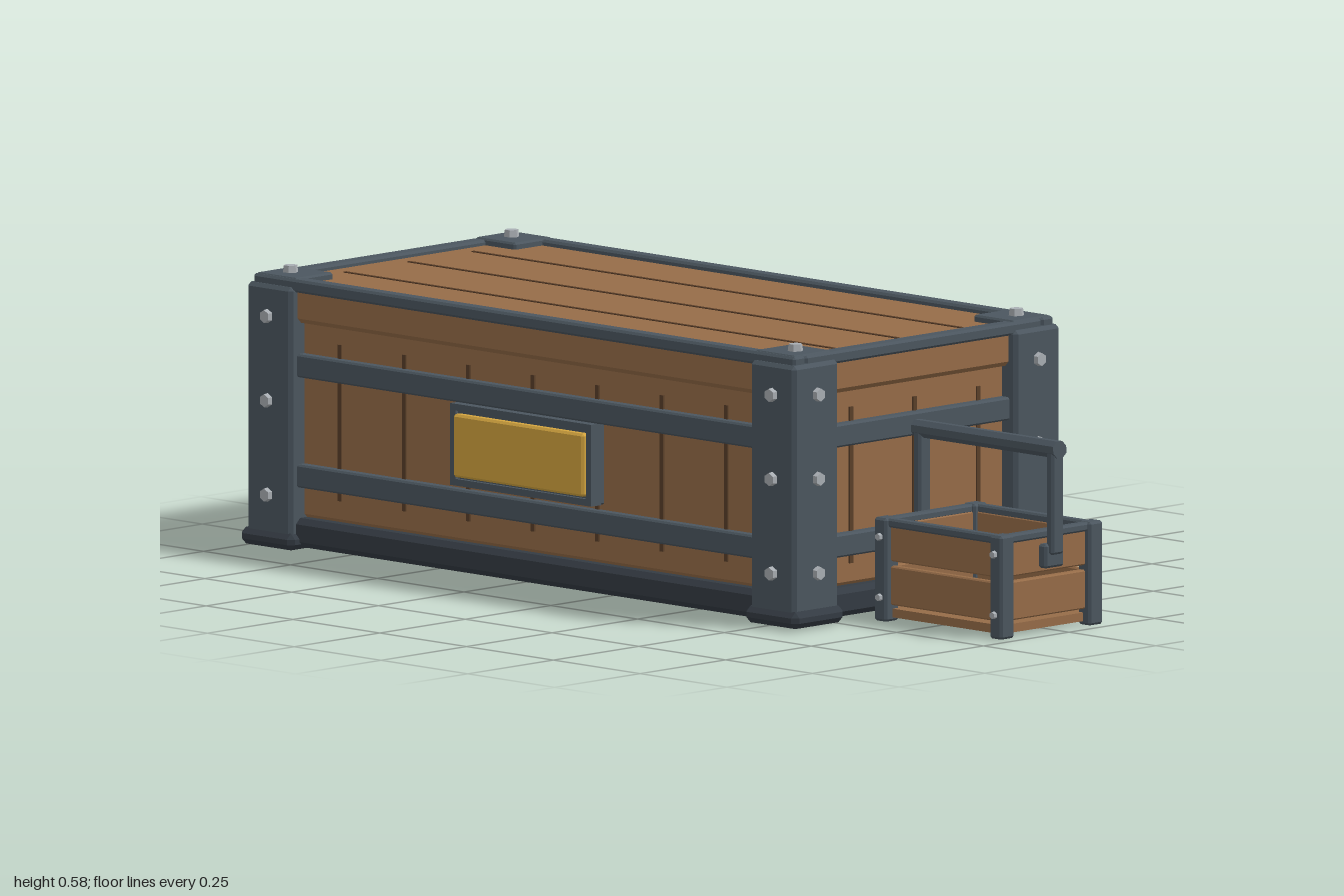
import * as THREE from 'three';
import { ConvexGeometry } from 'three/addons/geometries/ConvexGeometry.js';

const mat = (color) => new THREE.MeshStandardMaterial({ color, flatShading: true });

// Box with flat chamfers, given by its centre and size
function chamferBox(w, h, d, b) {
  const points = [];
  for (const sx of [-1, 1]) for (const sy of [-1, 1]) for (const sz of [-1, 1]) {
    const x = w / 2, y = h / 2, z = d / 2;
    points.push(
      new THREE.Vector3(sx * x, sy * (y - b), sz * (z - b)),
      new THREE.Vector3(sx * (x - b), sy * y, sz * (z - b)),
      new THREE.Vector3(sx * (x - b), sy * (y - b), sz * z));
  }
  return new ConvexGeometry(points);
}

export function createModel() {
  const steel = mat(0x4b565f), darkSteel = mat(0x343b43), wood = mat(0x966c48);
  const groove = mat(0x5a3f29), gold = mat(0xd4a53f), boltGrey = mat(0xa9aeb3);
  const model = new THREE.Group();

  // Adds a box by its limits on each axis
  function box(parent, name, material, [x0, x1], [y0, y1], [z0, z1], bevel = 0) {
    const w = x1 - x0, h = y1 - y0, d = z1 - z0;
    const geo = bevel ? chamferBox(w, h, d, bevel) : new THREE.BoxGeometry(w, h, d);
    const mesh = new THREE.Mesh(geo, material);
    mesh.position.set((x0 + x1) / 2, (y0 + y1) / 2, (z0 + z1) / 2);
    mesh.name = name;
    parent.add(mesh);
  }
  // Limits of a span mirrored to the side given by s
  const side = (s, a, b) => (s > 0 ? [a, b] : [-b, -a]);
  const about = (c, half) => [c - half, c + half];

  // Hexagonal bolt head facing along a direction
  function bolt(parent, r, x, y, z, dx, dy, dz) {
    const mesh = new THREE.Mesh(new THREE.CylinderGeometry(r * 0.8, r, r * 1.5, 6), boltGrey);
    mesh.name = 'bolt';
    mesh.position.set(x, y, z);
    if (dx) mesh.rotation.set(Math.PI / 2, 0, -dx * Math.PI / 2, 'ZXY');
    if (dx) mesh.quaternion.setFromUnitVectors(new THREE.Vector3(0, 1, 0), new THREE.Vector3(dx, 0, 0))
      .multiply(new THREE.Quaternion().setFromAxisAngle(new THREE.Vector3(0, 1, 0), Math.PI / 2));
    if (dz) mesh.rotation.x = dz * Math.PI / 2;
    if (dy) mesh.rotation.y = Math.PI / 6;
    parent.add(mesh);
  }

  // ---- Large crate ----
  const crate = new THREE.Group();
  crate.name = 'crate';
  crate.position.x = -0.197;
  model.add(crate);

  box(crate, 'base', darkSteel, [-0.775, 0.775], [0.01, 0.07], [-0.375, 0.375], 0.012);
  box(crate, 'body', wood, [-0.75, 0.75], [0.065, 0.49], [-0.35, 0.35], 0.012);
  box(crate, 'lid', wood, [-0.77, 0.77], [0.475, 0.555], [-0.37, 0.37], 0.01);

  // Rails around the body and frame around the lid
  for (const s of [-1, 1]) {
    for (const y of [0.158, 0.387]) {
      box(crate, 'longRail', steel, [-0.74, 0.74], about(y, 0.024), side(s, 0.34, 0.372), 0.004);
      box(crate, 'endRail', steel, side(s, 0.74, 0.772), about(y, 0.024), [-0.34, 0.34], 0.004);
    }
    box(crate, 'lidLongFrame', steel, [-0.78, 0.78], [0.54, 0.567], side(s, 0.345, 0.38), 0.005);
    box(crate, 'lidEndFrame', steel, side(s, 0.745, 0.78), [0.54, 0.566], [-0.345, 0.345], 0.005);
  }

  // Dark seams between the planks
  for (const s of [-1, 1]) {
    for (let i = -3; i <= 3; i++)
      box(crate, 'sideSeam', groove, about(i * 0.1855, 0.005), [0.115, 0.44], side(s, 0.345, 0.354));
    for (let i = -1; i <= 1; i++)
      box(crate, 'endSeam', groove, side(s, 0.745, 0.754), [0.115, 0.44], about(i * 0.186, 0.005));
  }
  for (let i = -1; i <= 1; i++)
    box(crate, 'lidSeam', groove, [-0.705, 0.705], [0.55, 0.557], about(i * 0.187, 0.004));

  // Corner posts with feet, top plates and bolts
  for (const sx of [-1, 1]) for (const sz of [-1, 1]) {
    const corner = new THREE.Group();
    corner.name = 'cornerPost';
    crate.add(corner);
    box(corner, 'post', steel, side(sx, 0.66, 0.79), [0.02, 0.55], side(sz, 0.257, 0.39), 0.008);
    box(corner, 'foot', darkSteel, side(sx, 0.65, 0.803), [0.005, 0.04], side(sz, 0.25, 0.4), 0.012);
    box(corner, 'topPlate', steel, side(sx, 0.66, 0.775), [0.54, 0.569], side(sz, 0.265, 0.375), 0.004);
    bolt(corner, 0.018, sx * 0.727, 0.57, sz * 0.323, 0, 1, 0);
    for (const y of [0.114, 0.31, 0.485]) {
      bolt(corner, 0.017, sx * 0.727, y, sz * 0.388, 0, 0, sz);
      bolt(corner, 0.017, sx * 0.788, y, sz * 0.323, sx, 0, 0);
    }
  }

  // Framed plate on the front
  const plate = new THREE.Group();
  plate.name = 'frontPlate';
  crate.add(plate);
  box(plate, 'plateBacking', steel, [-0.203, 0.203], [0.193, 0.363], [0.345, 0.38], 0.004);
  for (const s of [-1, 1]) {
    box(plate, 'plateSideFrame', steel, side(s, 0.188, 0.203), [0.193, 0.363], [0.36, 0.388]);
    box(plate, 'plateEdgeFrame', steel, [-0.19, 0.19], about(0.278 + s * 0.078, 0.007), [0.36, 0.388]);
  }
  box(plate, 'goldPanel', gold, [-0.188, 0.188], [0.212, 0.343], [0.37, 0.397], 0.005);

  // ---- Small carry basket ----
  const basket = new THREE.Group();
  basket.name = 'basket';
  basket.position.set(0.79, 0, 0.022);
  model.add(basket);

  box(basket, 'basketFloor', wood, [-0.165, 0.165], [0.008, 0.026], [-0.13, 0.13]);
  for (const s of [-1, 1]) {
    for (const y of [[0.034, 0.115], [0.125, 0.2]]) {
      box(basket, 'basketSideBoard', wood, [-0.16, 0.16], y, side(s, 0.118, 0.135), 0.003);
      box(basket, 'basketEndBoard', wood, side(s, 0.153, 0.17), y, [-0.12, 0.12], 0.003);
    }
    box(basket, 'basketSideRim', steel, [-0.178, 0.178], [0.196, 0.214], side(s, 0.119, 0.142), 0.004);
    box(basket, 'basketEndRim', steel, side(s, 0.155, 0.178), [0.196, 0.214], [-0.14, 0.14], 0.004);

    // Handle mount and upright at each end
    box(basket, 'handleMount', steel, side(s, 0.168, 0.192), [0.135, 0.185], [-0.028, 0.028], 0.005);
    box(basket, 'handleUpright', steel, side(s, 0.181, 0.202), [0.163, 0.385], [-0.018, 0.018], 0.005);
  }
  for (const sx of [-1, 1]) for (const sz of [-1, 1]) {
    box(basket, 'basketPost', steel, side(sx, 0.148, 0.184), [0, 0.215], side(sz, 0.109, 0.15), 0.005);
    for (const y of [0.05, 0.176]) bolt(basket, 0.009, sx * 0.165, y, sz * 0.151, 0, 0, sz);
  }
  const bar = new THREE.Mesh(new THREE.CylinderGeometry(0.021, 0.021, 0.41, 8), steel);
  bar.name = 'handleBar';
  bar.rotation.set(0, Math.PI / 8, Math.PI / 2, 'ZXY');
  bar.position.y = 0.381;
  bar.scale.set(0.9, 1, 1);
  basket.add(bar);

  return model;
}
